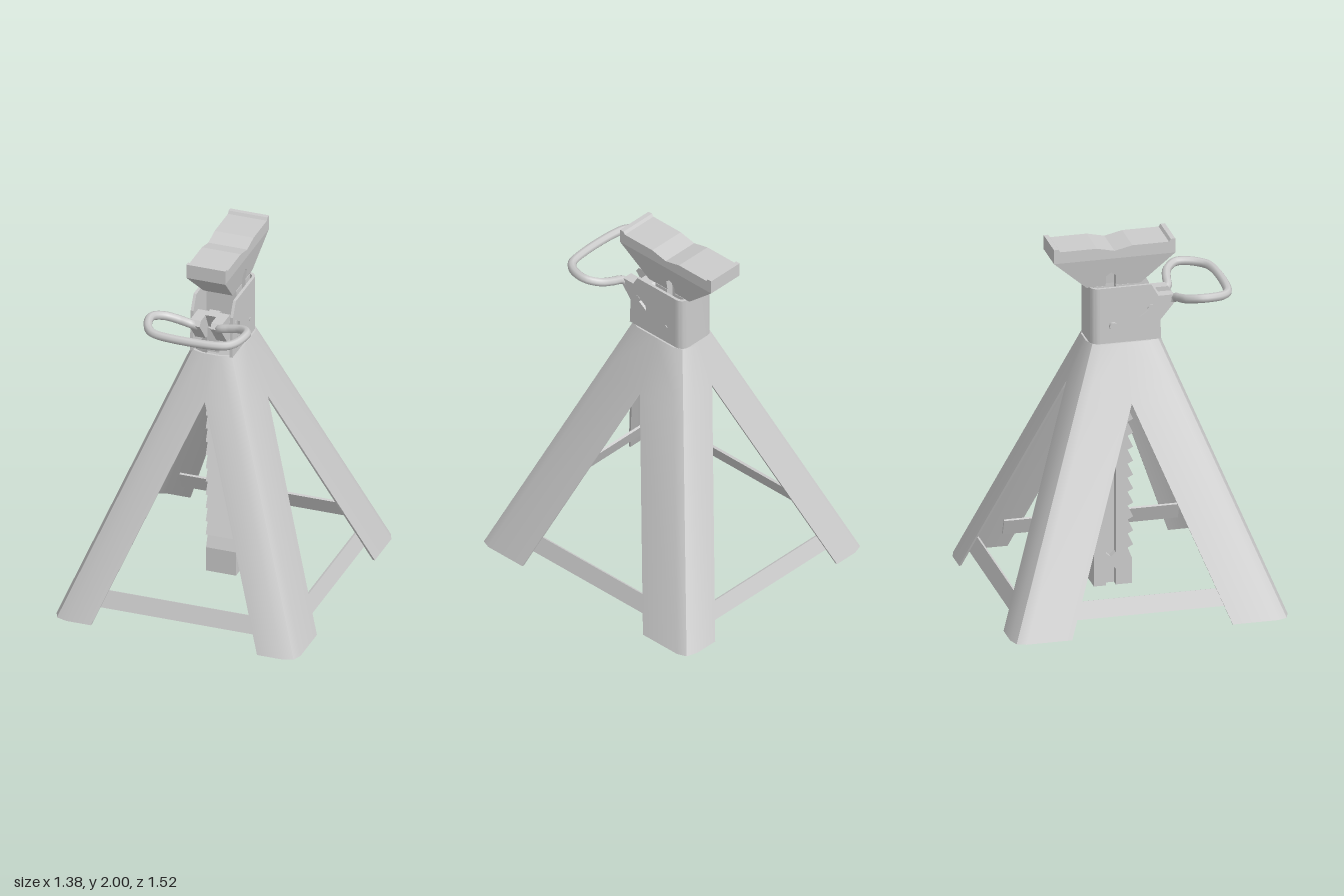
import * as THREE from 'three';
import { toCreasedNormals } from 'three/addons/utils/BufferGeometryUtils.js';

const material = new THREE.MeshStandardMaterial({ color: 0xcccccc, side: THREE.DoubleSide });

export function createModel() {
  const root = new THREE.Group();

  function add(name, geometry, parent = root) {
    const mesh = new THREE.Mesh(geometry, material);
    mesh.name = name;
    parent.add(mesh);
    return mesh;
  }
  const toShape = (pts) => new THREE.Shape(pts.map(([a, b]) => new THREE.Vector2(a, b)));

  // Side profile given as [z, y] points, extruded from x0 to x1
  function sideExtrude(pts, x0, x1, holes = []) {
    const shape = toShape(pts);
    for (const h of holes) shape.holes.push(h);
    const g = new THREE.ExtrudeGeometry(shape, { depth: x1 - x0, bevelEnabled: false, curveSegments: 6 });
    return g.rotateY(-Math.PI / 2).translate(x1, 0, 0);
  }

  // One quarter of the sheet-metal pyramid: an angled leg with a rounded corner
  function legGeometry() {
    const t = 0.012;
    const ring = (y) => {
      const X = 0.69 - 0.56 * y / 1.44, Z = 0.76 - 0.56 * y / 1.44;
      const a = Math.max(0, 0.47 * (1 - y / 1.2)), b = Math.max(0, 0.44 * (1 - y / 1.135));
      return [
        [a, Z], [X - 0.08, Z], [X - 0.02, Z - 0.02], [X, Z - 0.07], [X, b],
        [X - t, b], [X - t, Z - 0.07], [X - 0.02 - t, Z - 0.02 - t], [X - 0.08, Z - t], [a, Z - t],
      ].map(([x, z]) => [x, y, z]);
    };
    const rings = [0, 1.135, 1.2, 1.44].map(ring);
    const pos = [];
    const quad = (a, b, c, d) => pos.push(...a, ...b, ...c, ...a, ...c, ...d);
    for (let i = 0; i < 3; i++) {
      for (let j = 0; j < 10; j++) {
        const k = (j + 1) % 10;
        quad(rings[i][j], rings[i][k], rings[i + 1][k], rings[i + 1][j]);
      }
    }
    const lo = rings[0], hi = rings[3];
    for (let k = 0; k < 4; k++) {
      quad(lo[k], lo[9 - k], lo[8 - k], lo[k + 1]);
      quad(hi[k], hi[k + 1], hi[8 - k], hi[9 - k]);
    }
    const g = new THREE.BufferGeometry();
    g.setAttribute('position', new THREE.Float32BufferAttribute(pos, 3));
    return toCreasedNormals(g, 0.7);
  }
  const leg = legGeometry();
  for (const sx of [1, -1]) {
    for (const sz of [1, -1]) add('leg', leg).scale.set(sx, 1, sz);
  }

  // Tilted braces welded inside the feet
  for (const s of [1, -1]) {
    const frontBar = add('crossBar', new THREE.BoxGeometry(1.0, 0.097, 0.014));
    frontBar.position.set(0, 0.135, s * 0.689);
    frontBar.rotation.x = -s * 0.37;
    const sideBar = add('sideCrossBar', new THREE.BoxGeometry(0.014, 0.097, 0.96));
    sideBar.position.set(s * 0.619, 0.135, 0);
    sideBar.rotation.z = s * 0.37;
  }

  // Ratchet column: toothed core with a grooved plate on each side
  const column = new THREE.Group();
  column.name = 'ratchetColumn';
  root.add(column);
  const gz0 = -0.1, gz1 = -0.045, gm = -0.0725;
  const teeth = [];
  for (let i = 0; i < 16; i++) {
    const y = 0.26 + i * 0.08;
    teeth.push([0.02, y - 0.015], [0.05, y]);
  }
  const front = [[0.045, 0.04], [0.045, 0.18], ...teeth, [0.02, 1.53], [0.04, 1.56], [0.04, 1.756]];
  add('columnCore', sideExtrude([[-0.165, 0.04], ...front, [-0.165, 1.756]], -0.045, 0.045), column);
  const plate = [
    [-0.165, 0.04], [gz0, 0.04], [gz0, 0.13], [gm, 0.16], [gz1, 0.13], [gz1, 0.04], ...front,
    [gz1, 1.756], [gz1, 0.225], [gm, 0.2], [gz0, 0.225], [gz0, 1.756], [-0.165, 1.756],
  ];
  add('columnPlate', sideExtrude(plate, 0.045, 0.085), column);
  add('columnPlate', sideExtrude(plate, -0.085, -0.045), column);

  // Saddle: V-topped head over a tapering neck
  const saddle = new THREE.Group();
  saddle.name = 'saddle';
  root.add(saddle);
  add('saddleTop', sideExtrude([
    [-0.39, 1.92], [0.275, 1.92], [0.275, 2], [0.25, 2], [0.24, 1.985], [0.04, 1.985],
    [-0.058, 1.963], [-0.155, 1.985], [-0.355, 1.985], [-0.365, 2], [-0.39, 2],
  ], -0.11, 0.11), saddle);
  function taper(g) {
    const p = g.attributes.position;
    for (let i = 0; i < p.count; i++) {
      p.setX(i, p.getX(i) * (1 - 0.25 * (1.92 - p.getY(i)) / 0.165));
    }
    g.computeVertexNormals();
    return g;
  }
  const neckTop = [[0.09, 1.755], [0.275, 1.92], [-0.39, 1.92], [-0.205, 1.755]];
  const neckNotched = [
    ...neckTop, [gz0, 1.755], [gz0, 1.815], [gm, 1.835], [gz1, 1.815], [gz1, 1.755],
  ];
  add('saddleNeck', taper(sideExtrude(neckTop, -0.06, 0.06)), saddle);
  add('saddleNeckSide', taper(sideExtrude(neckNotched, 0.06, 0.11)), saddle);
  add('saddleNeckSide', taper(sideExtrude(neckNotched, -0.11, -0.06)), saddle);

  // Collar: two slotted cheeks and a rounded back, open to the front
  const collar = new THREE.Group();
  collar.name = 'collar';
  root.add(collar);
  const cheek = [[-0.14, 1.44], [0.195, 1.44], [0.185, 1.675], [0.14, 1.755], [-0.14, 1.755]];
  const slot = () => {
    const h = new THREE.Path();
    h.absarc(0.14, 1.625, 0.022, 0.95, 4.1, false);
    h.lineTo(0.075, 1.57);
    h.lineTo(0.08, 1.605);
    h.closePath();
    return h;
  };
  for (const s of [1, -1]) {
    const x = s * 0.112;
    add('collarCheek', sideExtrude(cheek, x - 0.008, x + 0.008, [slot()]), collar);
  }
  const back = new THREE.Shape();
  back.moveTo(0.12, 0.14);
  back.absarc(0.07, 0.14, 0.05, 0, Math.PI / 2, false);
  back.absarc(-0.07, 0.14, 0.05, Math.PI / 2, Math.PI, false);
  back.lineTo(-0.104, 0.14);
  back.absarc(-0.07, 0.14, 0.034, Math.PI, Math.PI / 2, true);
  back.absarc(0.07, 0.14, 0.034, Math.PI / 2, 0, true);
  const backGeometry = new THREE.ExtrudeGeometry(back, { depth: 0.315, bevelEnabled: false, curveSegments: 5 });
  backGeometry.rotateX(-Math.PI / 2).translate(0, 1.44, 0);
  add('collarBack', toCreasedNormals(backGeometry, 0.7), collar);

  // Pivot pin through the slot and a small stop pin behind it
  const pin = (name, r, x0, x1, y, z) => {
    const g = new THREE.CylinderGeometry(r, r, x1 - x0, 10).rotateZ(Math.PI / 2);
    add(name, g.translate((x0 + x1) / 2, y, z));
  };
  pin('pivotPin', 0.018, -0.125, 0.122, 1.622, 0.14);
  pin('stopPin', 0.01, -0.124, 0.124, 1.54, -0.07);
  pin('pinHead', 0.022, -0.14, -0.118, 1.54, -0.07);

  // Pawl: two lugs joined by a bridge, with a tongue below
  const lug = [[0.055, 1.53], [0.195, 1.53], [0.29, 1.645], [0.27, 1.672], [0.15, 1.672], [0.055, 1.6]];
  add('pawlLug', sideExtrude(lug, 0.03, 0.09));
  add('pawlLug', sideExtrude(lug, -0.09, -0.03));
  add('pawlBridge', sideExtrude([[0.055, 1.53], [0.13, 1.53], [0.2, 1.672], [0.13, 1.672], [0.055, 1.6]], -0.03, 0.03));
  add('pawlTongue', new THREE.BoxGeometry(0.07, 0.14, 0.014).translate(0, 1.51, 0.16));

  // Loop handle, mirrored half path
  const half = [
    [0.06, 1.62, 0.24], [0.08, 1.65, 0.28], [0.15, 1.672, 0.293], [0.22, 1.692, 0.315], [0.268, 1.708, 0.37],
    [0.268, 1.708, 0.43], [0.24, 1.702, 0.5], [0.19, 1.7, 0.54],
  ];
  const path = [...half, ...half.map(([x, y, z]) => [-x, y, z]).reverse()];
  const curve = new THREE.CatmullRomCurve3(path.map((p) => new THREE.Vector3(...p)), false, 'centripetal');
  add('handle', new THREE.TubeGeometry(curve, 64, 0.024, 8, false));

  return root;
}
